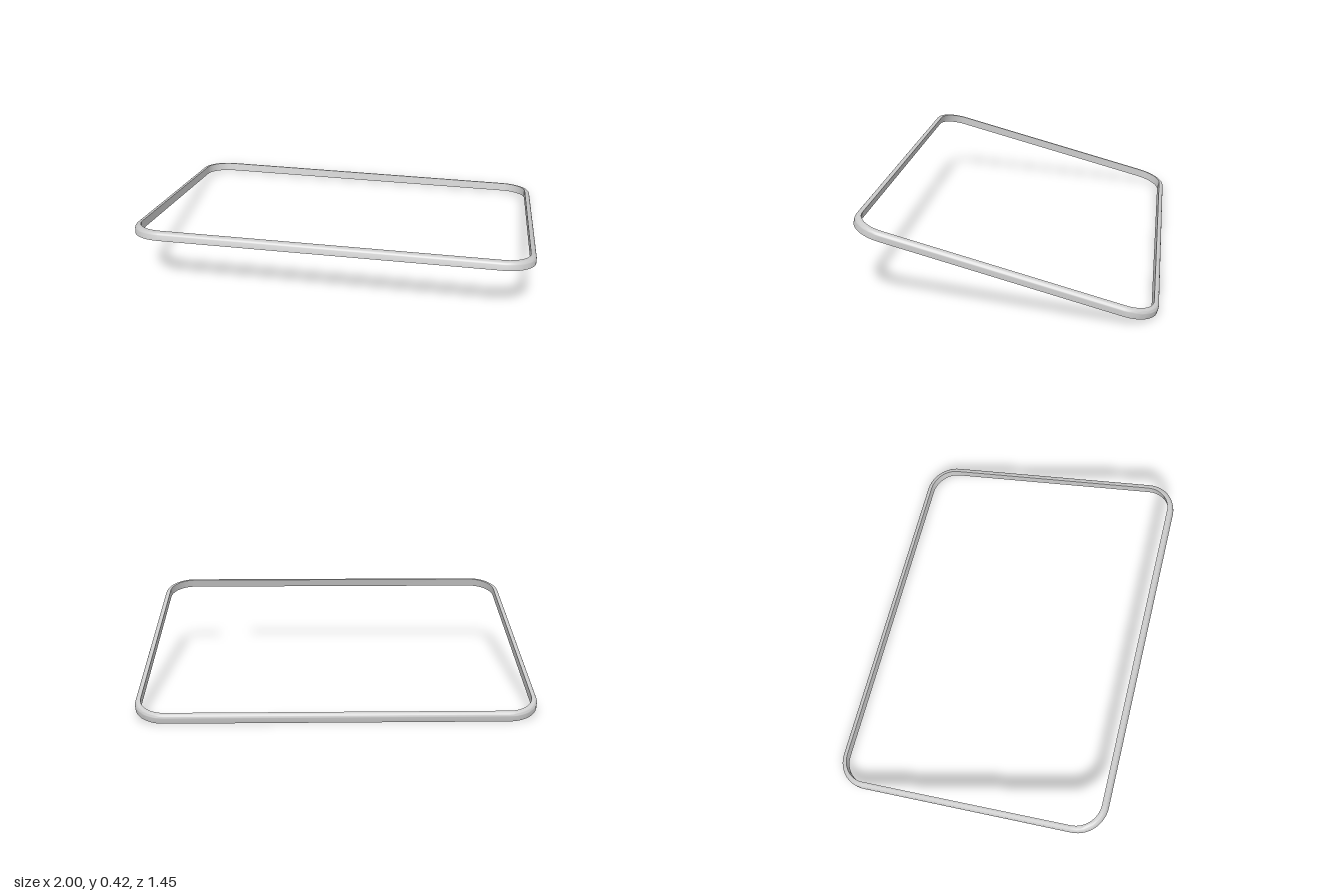
import * as THREE from 'three';
import { toCreasedNormals } from 'three/addons/utils/BufferGeometryUtils.js';

const HALF_W = 1, HALF_D = 0.745, CORNER = 0.16, TILT = Math.PI / 12;
const WIDTH = 0.028, HEIGHT = 0.044, ROUND = 0.021;

// Rail cross-section as [distance inward, height]: flat base and inner wall, rounded outer top edge
function railProfile() {
  const points = [[0, 0]];
  for (let i = 0; i <= 8; i++) {
    const a = (i / 8) * Math.PI / 2;
    points.push([ROUND * (1 - Math.cos(a)), HEIGHT - ROUND * (1 - Math.sin(a))]);
  }
  points.push([WIDTH, HEIGHT], [WIDTH, 0]);
  return points;
}

// Sweep the profile round a closed rectangle with rounded corners
function frameGeometry() {
  const profile = railProfile(), steps = 14, positions = [], index = [];
  for (let corner = 0; corner < 4; corner++) {
    const sx = corner === 0 || corner === 3 ? 1 : -1;
    const sz = corner < 2 ? -1 : 1;
    for (let i = 0; i <= steps; i++) {
      const a = (corner + i / steps) * Math.PI / 2;
      for (const [inward, h] of profile) {
        const r = CORNER - inward;
        positions.push(
          sx * (HALF_W - CORNER) + r * Math.cos(a),
          h,
          sz * (HALF_D - CORNER) - r * Math.sin(a)
        );
      }
    }
  }
  const n = profile.length, rings = 4 * (steps + 1);
  for (let i = 0; i < rings; i++) {
    const next = (i + 1) % rings;
    for (let j = 0; j < n; j++) {
      const k = (j + 1) % n;
      const a = i * n + j, b = next * n + j, c = next * n + k, d = i * n + k;
      index.push(a, b, c, a, c, d);
    }
  }
  const geometry = new THREE.BufferGeometry();
  geometry.setAttribute('position', new THREE.Float32BufferAttribute(positions, 3));
  geometry.setIndex(index);
  return toCreasedNormals(geometry, Math.PI / 5);
}

export function createModel() {
  const group = new THREE.Group();
  const frame = new THREE.Mesh(frameGeometry(), new THREE.MeshStandardMaterial({ color: 0xcccccc }));
  frame.name = 'roundedFrame';
  // Front edge raised, back edge resting on the ground
  frame.rotation.x = -TILT;
  frame.position.set(0, HALF_D * Math.sin(TILT), 0.004);
  group.add(frame);
  return group;
}
